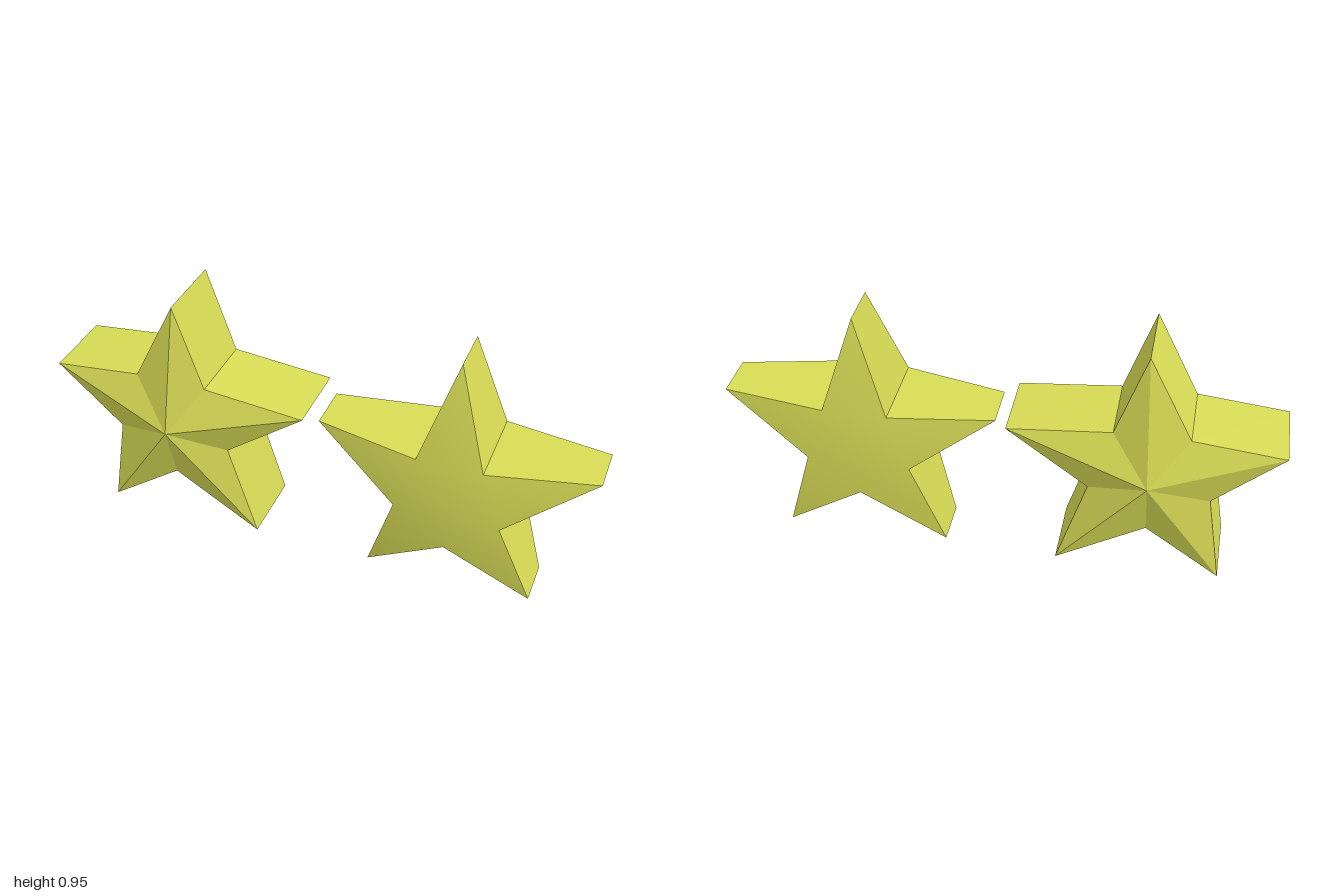
import * as THREE from 'three';

const material = (flatShading) =>
  new THREE.MeshStandardMaterial({ color: 0xd8dc55, flatShading });

function makeMesh(name, positions, index, flat) {
  const geometry = new THREE.BufferGeometry();
  geometry.setAttribute('position', new THREE.Float32BufferAttribute(positions.flat(), 3));
  geometry.setIndex(index);
  geometry.computeVertexNormals();
  const mesh = new THREE.Mesh(geometry, material(flat));
  mesh.name = name;
  return mesh;
}

// outline: ten [x, y] points clockwise from the top tip, tips and notches alternating.
// Each side gives the z of its tips, notches and centre.
function makeStar(name, outline, centre, front, back, faceted) {
  const group = new THREE.Group();
  group.name = name;
  const n = outline.length;
  const ring = (side) => outline.map(([x, y], i) => [x, y, i % 2 ? side.notch : side.tip]);
  const rings = { front: ring(front), back: ring(back) };

  // Front and back faces
  for (const [label, side] of [['front', front], ['back', back]]) {
    const index = [];
    const add = (a, b, c) => index.push(...(label === 'front' ? [a, c, b] : [a, b, c]));
    for (let i = 0; i < n; i += 2) {
      const before = (i + n - 1) % n, after = i + 1;
      if (faceted) {
        // ridges run from the raised centre to every tip
        add(n, before, i);
        add(n, i, after);
      } else {
        // flat middle pentagon with points bending away from it
        add(n, before, after);
        add(before, i, after);
      }
    }
    group.add(makeMesh(label + 'Face', [...rings[label], [...centre, side.centre]], index, faceted));
  }

  // Flat walls around the outline
  const index = [];
  for (let i = 0; i < n; i++) {
    const j = (i + 1) % n;
    index.push(i, j, n + j, i, n + j, n + i);
  }
  // order: front ring first, back ring second; clockwise outline, so reverse for outward faces
  for (let k = 0; k < index.length; k += 3) {
    [index[k + 1], index[k + 2]] = [index[k + 2], index[k + 1]];
  }
  group.add(makeMesh('sideWalls', [...rings.front, ...rings.back], index.reverse(), true));
  return group;
}

export function createModel() {
  const model = new THREE.Group();
  model.name = 'starPair';

  // Star with raised centres and sharp ridges
  const ridgedOutline = [
    [-0.517, 0.955], [-0.412, 0.64], [-0.042, 0.603], [-0.335, 0.39], [-0.23, 0.04],
    [-0.55, 0.234], [-0.82, 0.047], [-0.762, 0.393], [-1, 0.61], [-0.676, 0.642],
  ];
  model.add(makeStar('ridgedStar', ridgedOutline, [-0.545, 0.457],
    { tip: 0.134, notch: 0.134, centre: 0.206 },
    { tip: -0.143, notch: -0.143, centre: -0.206 }, true));

  // Smooth star, thinner toward its tips, mirrored about its own middle
  const half = [[0, 0.945], [0.117, 0.585], [0.495, 0.585], [0.189, 0.364], [0.304, 0.003], [0, 0.227]];
  const smoothOutline = [
    ...half, ...half.slice(1, 5).reverse().map(([x, y]) => [-x, y]),
  ].map(([x, y]) => [x + 0.5, y]);
  model.add(makeStar('smoothStar', smoothOutline, [0.5, 0.425],
    { tip: 0.093, notch: 0.178, centre: 0.178 },
    { tip: -0.082, notch: -0.14, centre: -0.14 }, false));

  return model;
}
